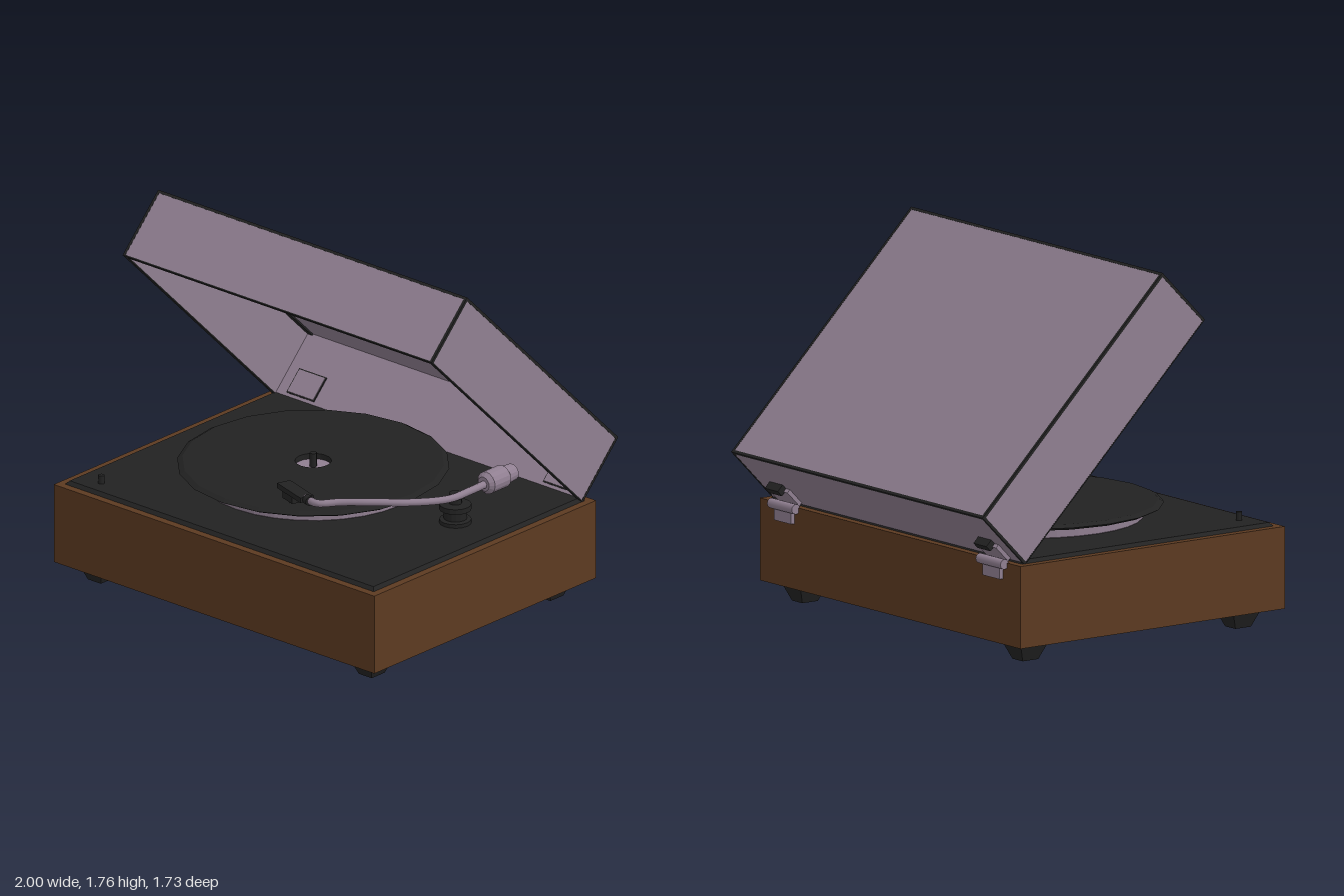
import * as THREE from 'three';

const mat = (name, color) => {
  const m = new THREE.MeshStandardMaterial({ color });
  m.name = name;
  return m;
};

export function createModel() {
  const wood = mat('brown wood', 0x5c3a21);
  const lilac = mat('greyed lilac', 0x907f91);
  const dark = mat('charcoal', 0x222222);
  const model = new THREE.Group();
  model.name = 'recordPlayer';

  const add = (parent, name, geo, material, x = 0, y = 0, z = 0) => {
    const m = new THREE.Mesh(geo, material);
    m.name = name;
    m.position.set(x, y, z);
    parent.add(m);
    return m;
  };
  const box = (parent, name, material, w, h, d, x, y, z) =>
    add(parent, name, new THREE.BoxGeometry(w, h, d), material, x, y, z);
  const lathe = (points, sides) => {
    const g = new THREE.LatheGeometry(points.map(p => new THREE.Vector2(...p)), sides).toNonIndexed();
    g.computeVertexNormals();
    return g;
  };
  // Four-sided block narrowing from one rectangle to another
  const taperedBlock = (w0, d0, w1, d1, h) => {
    const g = new THREE.BoxGeometry(1, h, 1).toNonIndexed();
    const p = g.attributes.position;
    for (let i = 0; i < p.count; i++) {
      const top = p.getY(i) > 0;
      p.setX(i, p.getX(i) * (top ? w1 : w0));
      p.setZ(i, p.getZ(i) * (top ? d1 : d0));
    }
    g.computeVertexNormals();
    return g;
  };

  // Wooden case, deck plate and feet
  box(model, 'case', wood, 2, 0.39, 1.54, 0, 0.285, 0.1);
  add(model, 'deck', taperedBlock(1.925, 1.465, 1.895, 1.435, 0.017), dark, 0, 0.4885, 0.1);
  for (const x of [-0.845, 0.845])
    for (const z of [-0.525, 0.715])
      add(model, 'foot', taperedBlock(0.08, 0.09, 0.15, 0.17, 0.092), dark, x, 0.046, z);

  // Platter, record with a wide centre hole, and spindle
  const turntable = new THREE.Group();
  turntable.name = 'turntable';
  turntable.position.set(-0.145, 0, 0.02);
  model.add(turntable);
  add(turntable, 'platter', lathe([[0, 0.49], [0.53, 0.49], [0.54, 0.5], [0.54, 0.535], [0.53, 0.545], [0, 0.547]], 32), lilac);
  add(turntable, 'record', lathe([[0.085, 0.548], [0.61, 0.548], [0.635, 0.561], [0.61, 0.575], [0.085, 0.575], [0.085, 0.548]], 20), dark);
  add(turntable, 'spindle', new THREE.CylinderGeometry(0.017, 0.017, 0.07, 10), dark, 0, 0.58, 0);

  // Small control knob
  add(model, 'knob', new THREE.CylinderGeometry(0.015, 0.015, 0.045, 12), dark, -0.82, 0.515, 0.74);

  // Tonearm
  const tonearm = new THREE.Group();
  tonearm.name = 'tonearm';
  model.add(tonearm);
  add(tonearm, 'armBase', lathe([[0, 0.49], [0.075, 0.49], [0.075, 0.515], [0.055, 0.52], [0.055, 0.56],
    [0.075, 0.565], [0.075, 0.59], [0.03, 0.595], [0.03, 0.645], [0, 0.65]], 16), dark, 0.715, 0, -0.01);
  const path = new THREE.CatmullRomCurve3([
    [0.25, 0.653, 0.515], [0.34, 0.655, 0.53], [0.42, 0.662, 0.46], [0.53, 0.668, 0.38],
    [0.67, 0.665, 0.25], [0.74, 0.645, 0.07], [0.73, 0.632, -0.1], [0.72, 0.628, -0.24],
  ].map(p => new THREE.Vector3(...p)));
  add(tonearm, 'armTube', new THREE.TubeGeometry(path, 40, 0.018, 10), lilac);
  const weight = add(tonearm, 'counterweight', lathe([[0, 0], [0.035, 0], [0.055, 0.02], [0.055, 0.13],
    [0.045, 0.14], [0.04, 0.2], [0, 0.2]], 16), lilac, 0.72, 0.63, -0.2);
  weight.rotation.x = -Math.PI / 2;
  const head = new THREE.Group();
  head.name = 'headshell';
  head.position.set(0.165, 0.653, 0.49);
  head.rotation.y = -0.3;
  tonearm.add(head);
  box(head, 'shell', dark, 0.21, 0.025, 0.07, 0, 0, 0);
  box(head, 'cartridge', dark, 0.09, 0.045, 0.05, -0.03, -0.03, 0);
  add(head, 'stylus', new THREE.ConeGeometry(0.01, 0.03, 6), dark, -0.05, -0.062, 0).rotation.x = Math.PI;
  add(head, 'collar', new THREE.CylinderGeometry(0.024, 0.024, 0.03, 10), dark, 0.12, 0, 0).rotation.z = Math.PI / 2;

  // Hinged lid, open at its lower face
  const lid = new THREE.Group();
  lid.name = 'lid';
  lid.position.set(0, 0.48, -0.62);
  lid.rotation.x = -0.777;
  model.add(lid);
  const W = 1.926, H = 0.347, L = 1.47, T = 0.02, E = 0.014, P = 0.002;
  box(lid, 'lidTop', lilac, W, T, L, 0, H - T / 2, L / 2);
  for (const z of [T / 2, L - T / 2]) box(lid, 'lidEndWall', lilac, W, H - T, T, 0, (H - T) / 2, z);
  for (const s of [-1, 1]) {
    const x = s * (W - T) / 2;
    box(lid, 'lidSideWall', lilac, T, H - T, L - 2 * T, x, (H - T) / 2, L / 2);
    // Dark edging: outer edges, rim and inner corner
    box(lid, 'sideTopTrim', dark, E, E, L, s * (W - E + P) / 2, H - E / 2 + P / 2, L / 2);
    box(lid, 'sideRim', dark, T + P, 0.006, L, x, -0.002, L / 2);
    box(lid, 'innerCornerTrim', dark, 0.03, 0.008, L - 2 * T, s * (W / 2 - T - 0.015), H - T - 0.004, L / 2);
    for (const z of [E / 2 - P / 2, L - E / 2 + P / 2])
      box(lid, 'cornerTrim', dark, E, H, E, s * (W - E + P) / 2, H / 2, z);
    // Hinge mounting plate inside the lid
    box(lid, 'plateOutline', dark, 0.172, 0.13, 0.004, s * 0.8, 0.085, T + 0.002);
    box(lid, 'hingePlate', lilac, 0.16, 0.118, 0.006, s * 0.8, 0.085, T + 0.004);
    // Hinge leaf on the lid's back
    box(lid, 'lidLeaf', lilac, 0.16, 0.1, 0.02, s * 0.8, 0.075, -0.01);
    box(lid, 'hingeStop', dark, 0.1, 0.035, 0.04, s * 0.8, 0.135, -0.02);
    // Hinge leaf and barrel on the case
    box(model, 'caseLeaf', lilac, 0.13, 0.07, 0.02, s * 0.8, 0.435, -0.68);
    const barrel = add(model, 'hingeBarrel', new THREE.CylinderGeometry(0.024, 0.024, 0.19, 12), lilac, s * 0.8, 0.475, -0.684);
    barrel.rotation.z = Math.PI / 2;
  }
  for (const z of [0, 1]) {
    box(lid, 'endTopTrim', dark, W, E, E, 0, H - E / 2 + P / 2, z ? L - E / 2 + P / 2 : E / 2 - P / 2);
    box(lid, 'endRim', dark, W, 0.006, T + P, 0, -0.002, z ? L - T / 2 : T / 2);
  }
  return model;
}
